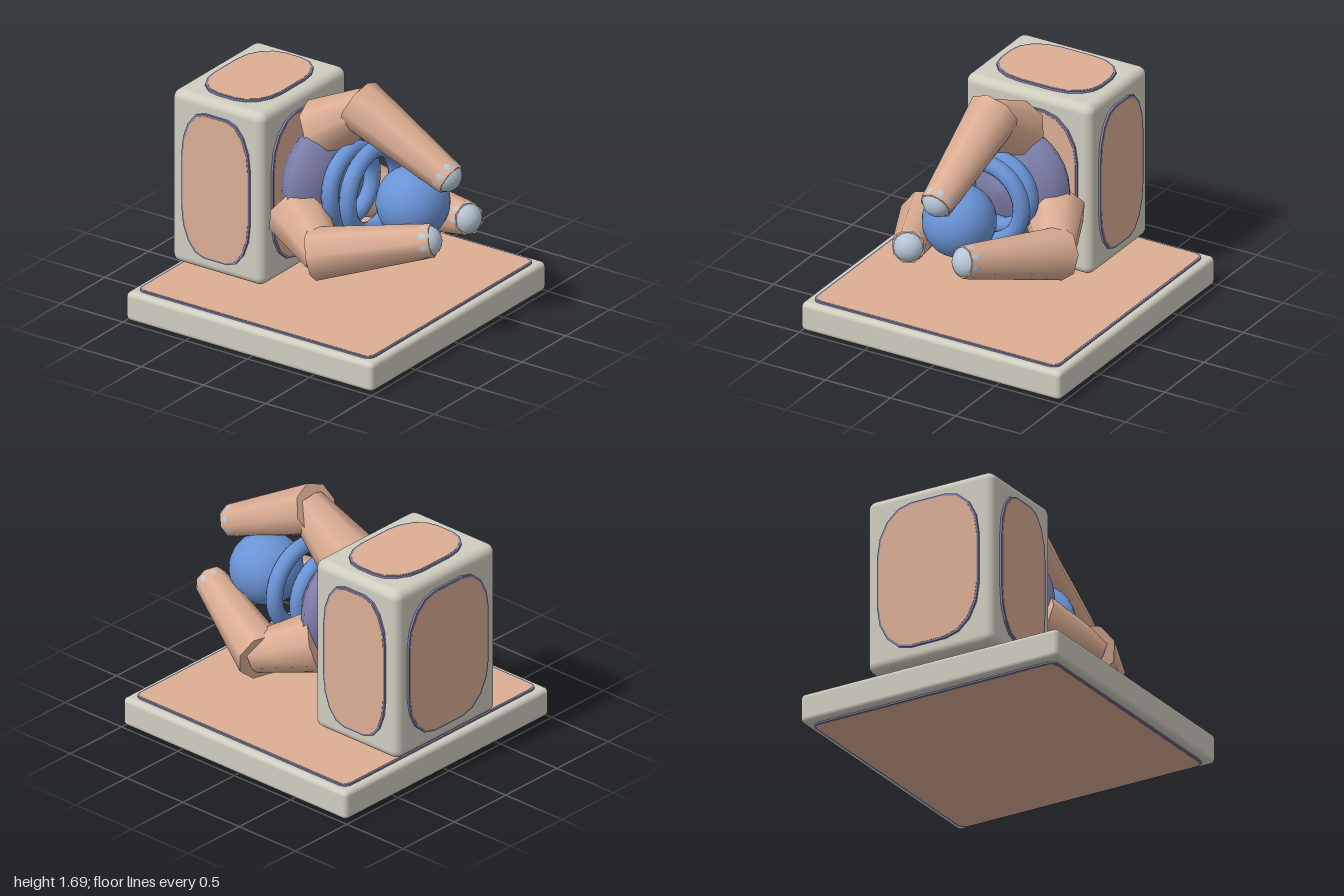
import * as THREE from 'three';
import { RoundedBoxGeometry } from 'three/addons/geometries/RoundedBoxGeometry.js';

const material = (name, color) => {
  const m = new THREE.MeshStandardMaterial({ color });
  m.name = name;
  return m;
};

export function createModel() {
  const cream = material('cream shell', 0xd0cdc0);
  const tan = material('tan skin', 0xdcae94);
  const violet = material('violet trim', 0x7f80ac);
  const blue = material('blue core', 0x6a93d6);
  const silver = material('silver tips', 0xb6c6d6);

  const model = new THREE.Group();
  model.name = 'clawMachine';
  const AXIS_Y = 0.93;

  const add = (parent, name, geometry, mat, x = 0, y = 0, z = 0) => {
    const mesh = new THREE.Mesh(geometry, mat);
    mesh.name = name;
    mesh.position.set(x, y, z);
    parent.add(mesh);
    return mesh;
  };

  // Rectangle outline with elliptical corners
  const outline = (hw, hh, rx, ry, steps) => {
    const points = [];
    [[1, 1], [-1, 1], [-1, -1], [1, -1]].forEach(([sx, sy], k) => {
      for (let i = 0; i <= steps; i++) {
        const a = (k + i / steps) * Math.PI / 2;
        points.push(new THREE.Vector2(
          sx * (hw - rx) + rx * Math.cos(a), sy * (hh - ry) + ry * Math.sin(a)));
      }
    });
    return new THREE.Shape(points);
  };

  // Raised panel facing +z: violet rim under a thin tan plate
  const panel = (name, hw, hh, rx, ry, out, steps = 4) => {
    const group = new THREE.Group();
    group.name = name;
    const rim = new THREE.ExtrudeGeometry(outline(hw, hh, rx, ry, steps),
      { depth: out + 0.01, bevelEnabled: false });
    add(group, 'panelRim', rim, violet, 0, 0, -0.01);
    const inset = 0.013;
    const plate = new THREE.ExtrudeGeometry(
      outline(hw - inset, hh - inset, rx - inset / 2, ry - inset / 2, steps),
      { depth: 0.004, bevelEnabled: false });
    add(group, 'panelPlate', plate, tan, 0, 0, out - 0.002);
    model.add(group);
    return group;
  };

  // Base slab with panels above and below
  add(model, 'baseSlab', new RoundedBoxGeometry(1.99, 0.208, 1.985, 4, 0.035), cream, 0, 0.121, 0.006);
  for (const s of [1, -1]) {
    const p = panel(s > 0 ? 'baseTopPanel' : 'baseBottomPanel', 0.94, 0.94, 0.06, 0.06, 0.011);
    p.position.set(0, 0.121 + s * 0.104, 0.006);
    p.rotation.x = -s * Math.PI / 2;
  }

  // Tower with a panel on each of its six faces
  const C = new THREE.Vector3(0, 0.877, -0.61);
  const H = new THREE.Vector3(0.487, 0.622, 0.37);
  add(model, 'tower', new RoundedBoxGeometry(H.x * 2, H.y * 2, H.z * 2, 4, 0.06), cream, C.x, C.y, C.z);
  const px = 0.39, py = 0.522, pz = 0.273, f = 0.66, g = 0.64;
  for (const s of [1, -1]) {
    const end = panel(s > 0 ? 'towerFrontPanel' : 'towerBackPanel', px, py, px * f, py * g, 0.015);
    end.position.set(0, C.y, C.z + s * H.z);
    end.rotation.y = s > 0 ? 0 : Math.PI;
    const side = panel(s > 0 ? 'towerLeftPanel' : 'towerRightPanel', pz, py, pz * f, py * g, 0.015);
    side.position.set(s * H.x, C.y, C.z);
    side.rotation.y = s * Math.PI / 2;
    const cap = panel(s > 0 ? 'towerTopPanel' : 'towerBottomPanel', px, pz, px * f, pz * 0.75, 0.015);
    cap.position.set(0, C.y + s * H.y, C.z);
    cap.rotation.x = -s * Math.PI / 2;
  }

  // Hub, turned about the z axis
  const hubProfile = [[0, -0.27], [0.29, -0.235], [0.38, -0.15], [0.42, -0.085],
    [0.36, -0.01], [0.25, 0.085], [0, 0.13]].map(([r, z]) => new THREE.Vector2(r, z));
  add(model, 'hub', new THREE.LatheGeometry(hubProfile, 28).rotateX(Math.PI / 2), violet, 0, AXIS_Y - 0.01, 0);

  // Floating rings and ball in front of the hub
  add(model, 'innerRing', new THREE.TorusGeometry(0.242, 0.057, 12, 32), blue, 0, AXIS_Y - 0.005, 0.126);
  add(model, 'outerRing', new THREE.TorusGeometry(0.28, 0.058, 12, 32), blue, 0, AXIS_Y, 0.298);
  add(model, 'ball', new THREE.SphereGeometry(0.247, 28, 20), blue, 0, AXIS_Y, 0.625);

  // Tapered eight-sided limb between two [radial, z] points
  const limb = (parent, name, [y0, z0], [y1, z1], r0, r1) => {
    const dy = y1 - y0, dz = z1 - z0;
    const mesh = add(parent, name, new THREE.CylinderGeometry(r1, r0, Math.hypot(dy, dz), 8),
      tan, 0, (y0 + y1) / 2, (z0 + z1) / 2);
    mesh.rotation.x = Math.atan2(dz, dy);
  };

  // Three bent fingers spaced evenly round the axis
  ['topFinger', 'rightFinger', 'leftFinger'].forEach((name, i) => {
    const finger = new THREE.Group();
    finger.name = name;
    finger.position.y = AXIS_Y;
    finger.rotation.z = i * Math.PI * 2 / 3;
    limb(finger, 'upperFinger', [0.338, -0.1], [0.603, 0.274], 0.21, 0.13);
    limb(finger, 'lowerFinger', [0.598, 0.182], [0.24, 0.93], 0.18, 0.112);
    const tip = add(finger, 'fingertip', new THREE.SphereGeometry(0.112, 16, 12), silver, 0, 0.262, 0.884);
    tip.rotation.x = Math.atan2(0.748, -0.358);
    model.add(finger);
  });

  return model;
}
